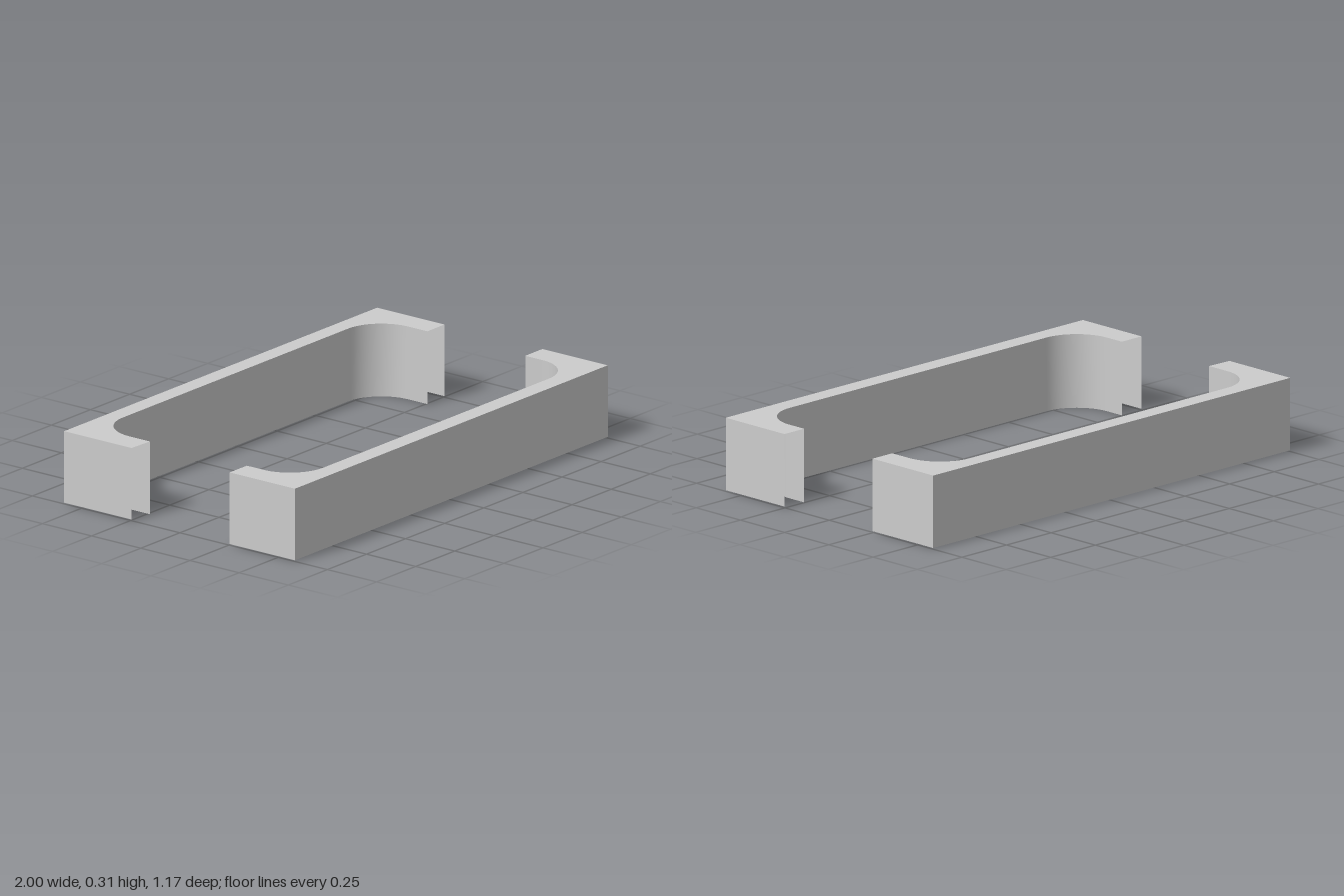
import * as THREE from 'three';
import { toCreasedNormals } from 'three/addons/utils/BufferGeometryUtils.js';

const TOP = 0.305;

// vertical sheet following a plan path of (x, z) points
function wall(points, bottom) {
  const pos = [], index = [];
  points.forEach((p, i) => {
    pos.push(p.x, bottom, p.y, p.x, TOP, p.y);
    if (i > 0) {
      const a = 2 * i - 2;
      index.push(a, a + 2, a + 1, a + 1, a + 2, a + 3);
    }
  });
  const g = new THREE.BufferGeometry();
  g.setAttribute('position', new THREE.Float32BufferAttribute(pos, 3));
  g.setIndex(index);
  return toCreasedNormals(g, 0.6);
}

export function createModel() {
  const model = new THREE.Group();
  const material = new THREE.MeshStandardMaterial({ color: 0xcccccc, side: THREE.DoubleSide });
  const add = (group, geometry, name) => {
    const mesh = new THREE.Mesh(geometry, material);
    mesh.name = name;
    group.add(mesh);
  };

  // one hollow bracket, open underneath and at both ends; s = +1 front, -1 back
  function bracket(name, s, outerZ, innerZ, endZ, leftTipZ, rightTipZ) {
    const group = new THREE.Group();
    group.name = name;
    const X = 1, IX = 0.89, R = 0.17;

    // outer U-shaped path with square corners
    const outer = [[-X, endZ], [-X, outerZ], [X, outerZ], [X, endZ]]
      .map(([x, z]) => new THREE.Vector2(x, s * z));

    // inner U-shaped path with rounded corners
    const inner = [new THREE.Vector2(IX, s * leftTipZ)];
    const n = 16;
    for (const side of [1, -1]) {
      for (let i = 0; i <= n; i++) {
        const t = (side > 0 ? i : n - i) / n * Math.PI / 2;
        inner.push(new THREE.Vector2(
          side * (IX - R + R * Math.cos(t)),
          s * (innerZ - R + R * Math.sin(t))));
      }
    }
    inner.push(new THREE.Vector2(-IX, s * rightTipZ));

    add(group, wall(outer, 0.005), 'outerWall');
    add(group, wall(inner, 0), 'innerWall');

    // top plate between the two paths, laid flat facing up
    const plan = [...outer, ...inner].map(p => new THREE.Vector2(p.x, -p.y));
    const plate = new THREE.ShapeGeometry(new THREE.Shape(plan));
    plate.rotateX(-Math.PI / 2).translate(0, TOP, 0);
    add(group, plate, 'topPlate');
    model.add(group);
  }

  bracket('frontBracket', 1, 0.585, 0.507, 0.253, 0.253, 0.253);
  bracket('backBracket', -1, 0.588, 0.513, 0.245, 0.245, 0.24);
  return model;
}
